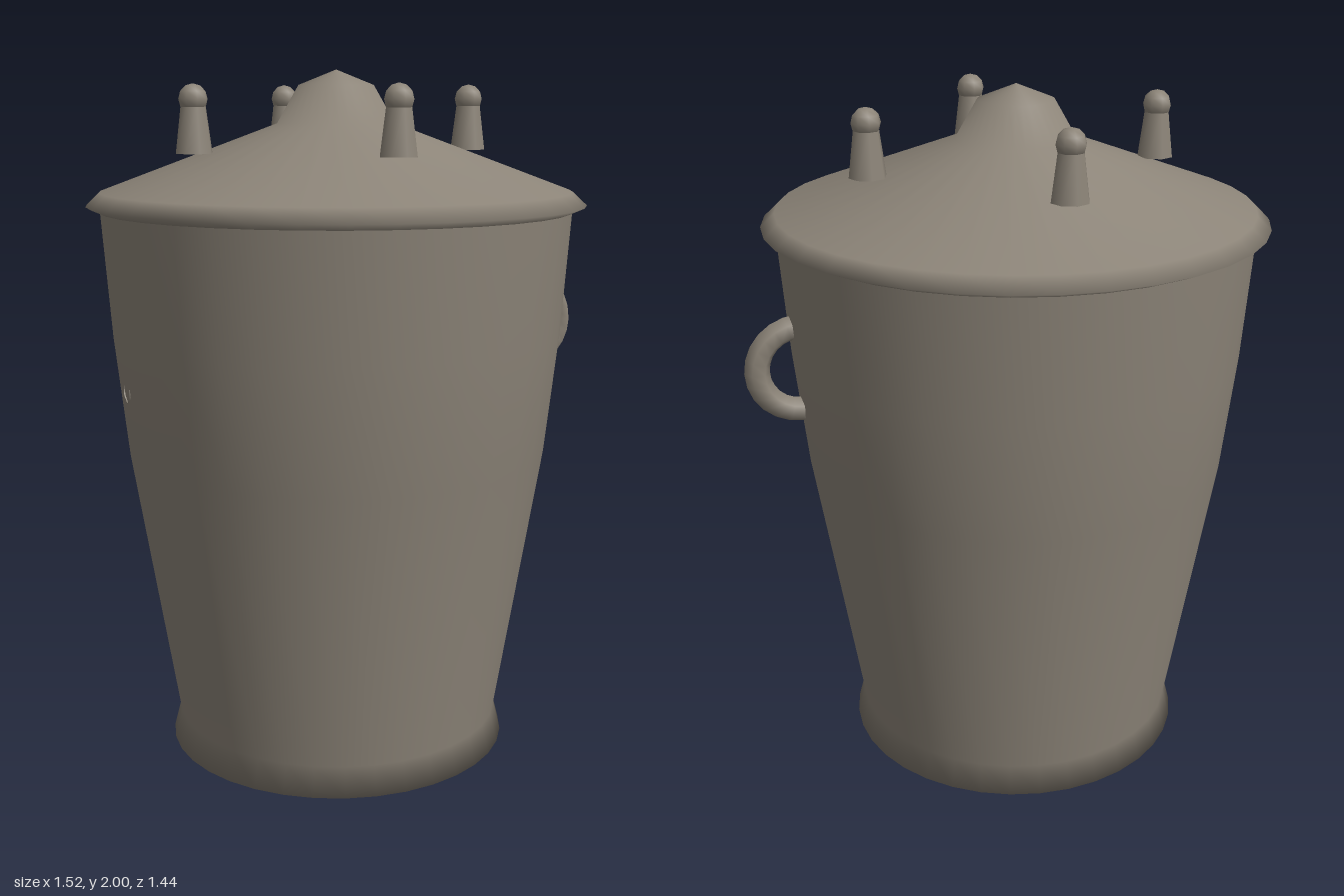
import * as THREE from 'three';

export function createModel() {
  const model = new THREE.Group();
  model.name = 'lidded bin';
  const metal = new THREE.MeshStandardMaterial({ color: 0x8c8478 });
  metal.name = 'warm grey metal';
  metal.side = THREE.DoubleSide;

  // everything turns about the bin's axis, which the side handle pushes off centre
  const bin = new THREE.Group();
  bin.name = 'bin';
  bin.position.x = -0.042;
  model.add(bin);

  const add = (parent, name, geometry, x = 0, y = 0, z = 0) => {
    const mesh = new THREE.Mesh(geometry, metal);
    mesh.name = name;
    mesh.position.set(x, y, z);
    parent.add(mesh);
    return mesh;
  };
  const lathe = (points) =>
    new THREE.LatheGeometry(points.map(([r, y]) => new THREE.Vector2(r, y)), 36);

  // tapered body with a flared foot and closed bottom
  add(bin, 'body', lathe([
    [0, 0], [0.51, 0], [0.488, 0.085], [0.618, 0.9], [0.655, 1.25], [0.68, 1.61],
  ]));

  // conical lid with a beaded rim and a raised crown
  add(bin, 'lid', lathe([
    [0.67, 1.6], [0.72, 1.622], [0.68, 1.66], [0.17, 1.85], [0.108, 1.957], [0, 2],
  ]));

  // four round-topped pegs around the lid
  for (let i = 0; i < 4; i++) {
    const a = (i * Math.PI) / 2;
    const peg = new THREE.Group();
    peg.name = 'lidPeg';
    peg.position.set(Math.cos(a) * 0.426, 0, Math.sin(a) * 0.426);
    add(peg, 'pegStem', new THREE.CylinderGeometry(0.036, 0.053, 0.13, 8), 0, 1.835, 0);
    add(peg, 'pegKnob', new THREE.SphereGeometry(0.042, 8, 6), 0, 1.918, 0);
    bin.add(peg);
  }

  // half-ring handles; both curve towards +x, so the one at -x lies inside the wall
  for (const x of [0.64, -0.64]) {
    const handle = add(bin, 'handle',
      new THREE.TorusGeometry(0.124, 0.036, 6, 12, Math.PI), x, 1.24, 0);
    handle.rotation.z = -Math.PI / 2;
  }
  return model;
}
